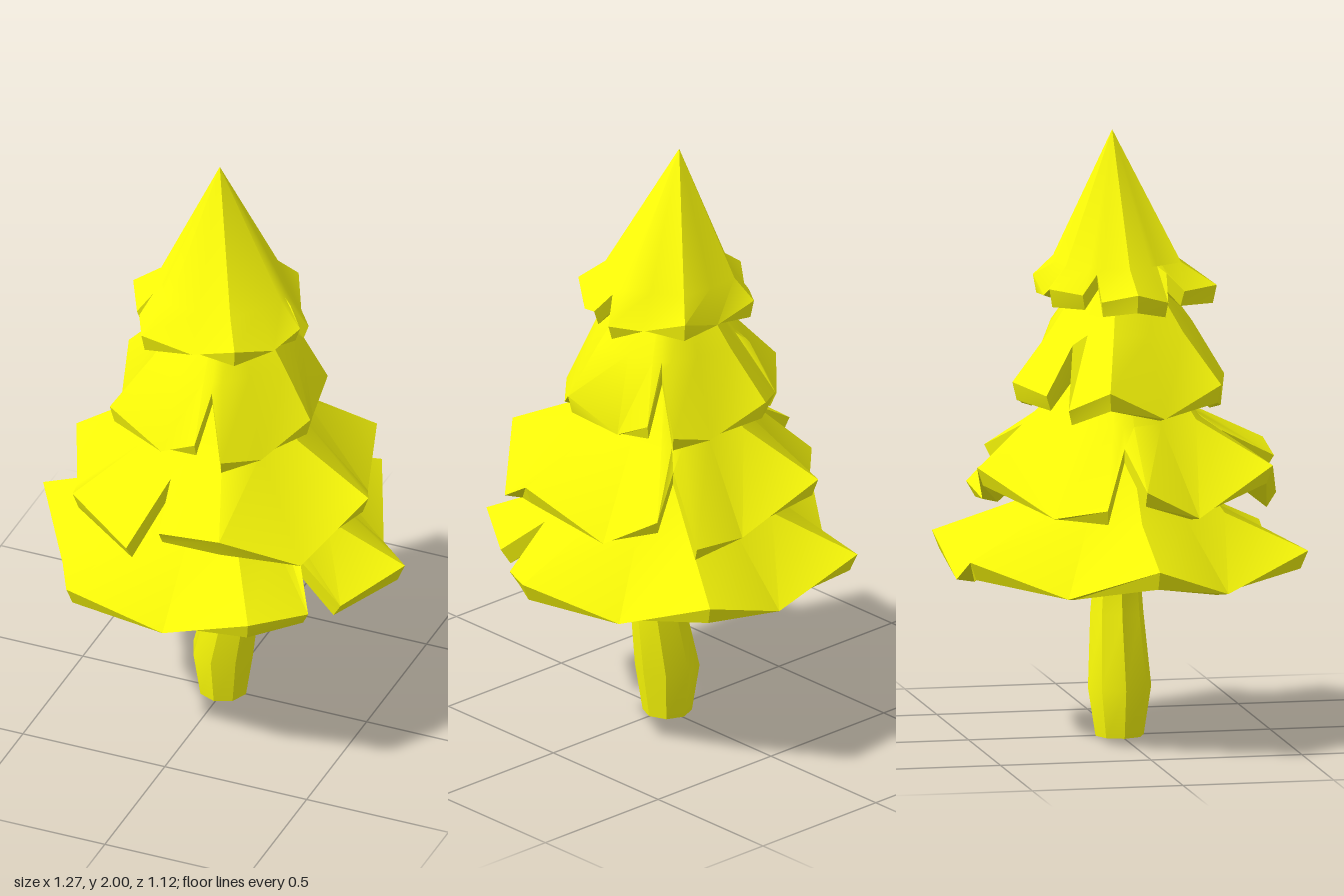
import * as THREE from 'three';
import { toCreasedNormals } from 'three/addons/utils/BufferGeometryUtils.js';

const material = new THREE.MeshStandardMaterial({ color: 0xfcfc08 });

// Skin a stack of closed rings, each running anticlockwise seen from above
function loft(name, rings) {
  const pos = [];
  const tri = (a, b, c) => {
    const area = b.clone().sub(a).cross(c.clone().sub(a)).length();
    if (area > 1e-7) for (const p of [a, b, c]) pos.push(p.x, p.y, p.z);
  };
  for (let k = 0; k < rings.length - 1; k++) {
    const lo = rings[k], hi = rings[k + 1], n = lo.length;
    for (let i = 0; i < n; i++) {
      const j = (i + 1) % n;
      tri(lo[i], lo[j], hi[j]);
      tri(lo[i], hi[j], hi[i]);
    }
  }
  const geometry = new THREE.BufferGeometry();
  geometry.setAttribute('position', new THREE.Float32BufferAttribute(pos, 3));
  const mesh = new THREE.Mesh(toCreasedNormals(geometry, 0.6), material);
  mesh.name = name;
  return mesh;
}

const polar = (degrees, r, y) => {
  const a = THREE.MathUtils.degToRad(degrees);
  return new THREE.Vector3(Math.cos(a) * r, y, -Math.sin(a) * r);
};

// A six-pointed skirt: raised tips and drooping folds alternate every 30 degrees.
// A notch splits its corner in two, one side tilted up and the other down.
// The cut edge is thick at the tips and tucks inwards at the folds.
function tier({ name, phase, radii, tipY, foldY, notchY, notchR, notches, shoulder, top, hollowY, lean = 0 }) {
  const corners = radii.flatMap((r, i) => {
    const angle = phase + i * 30, fold = i % 2, girth = fold ? 0.9 : 1;
    if (!(i in notches)) {
      return [{ angle, r, girth, y: fold ? foldY : tipY, drop: fold ? 0.01 : 0.06, inset: fold ? 0.89 : 0.96 }];
    }
    const y = (tipY + foldY) / 2, cut = { girth, drop: 0.05, inset: 0.94 };
    return [
      { ...cut, angle: angle - 7, r, y: y + notches[i] },
      { ...cut, angle, r: r * notchR, y: notchY },
      { ...cut, angle: angle + 7, r, y: y - notches[i] },
    ];
  });
  // hexagonal ring above the rim, shifted with the lean
  const ringAt = ([r, y], shift) => corners.map(c => {
    const p = polar(c.angle, r * c.girth, y);
    return p.add(new THREE.Vector3(shift, 0, shift));
  });
  return loft(name, [
    ringAt([0, hollowY], 0),
    corners.map(c => polar(c.angle, c.r * c.inset, c.y - c.drop)),
    corners.map(c => polar(c.angle, c.r, c.y)),
    ringAt(shoulder, lean * 0.3),
    ringAt(top, lean),
    ringAt([0, top[1]], lean),
  ]);
}

// Bent eight-sided trunk: height, centre x, radius
function trunk() {
  const sections = [
    [0, 0, 0], [0, -0.005, 0.08], [0.16, -0.005, 0.105],
    [0.4, 0.04, 0.088], [0.56, 0.035, 0.075], [0.9, 0.01, 0.06],
  ];
  return loft('trunk', sections.map(([y, cx, r]) => Array.from({ length: 8 }, (_, i) => {
    const p = polar(i * 45, r, y);
    p.x += cx;
    return p;
  })));
}

export function createModel() {
  const tree = new THREE.Group();
  tree.name = 'tree';
  tree.add(
    trunk(),
    tier({
      name: 'lowestBranches', phase: 0,
      radii: [0.635, 0.52, 0.64, 0.54, 0.65, 0.53, 0.64, 0.53, 0.645, 0.52, 0.61, 0.54],
      tipY: 0.64, foldY: 0.53, notchY: 0.71, notchR: 0.75, notches: { 11: 0.01 },
      shoulder: [0.36, 0.75], top: [0.19, 0.97], hollowY: 0.86,
    }),
    tier({
      name: 'lowerMiddleBranches', phase: -9,
      radii: [0.55, 0.465, 0.53, 0.445, 0.55, 0.465, 0.53, 0.48, 0.56, 0.51, 0.555, 0.525],
      tipY: 0.93, foldY: 0.78, notchY: 1.0, notchR: 0.65, notches: { 2: 0.05, 6: -0.03, 9: -0.05 },
      shoulder: [0.28, 1.06], top: [0.15, 1.24], hollowY: 1.12,
    }),
    tier({
      name: 'upperMiddleBranches', phase: -16,
      radii: [0.357, 0.29, 0.345, 0.32, 0.386, 0.36, 0.4, 0.34, 0.4, 0.33, 0.36, 0.33],
      tipY: 1.19, foldY: 1.09, notchY: 1.32, notchR: 0.75, notches: { 2: 0.02, 5: 0.02, 10: 0.03 },
      shoulder: [0.25, 1.35], top: [0.14, 1.5], hollowY: 1.38,
    }),
    tier({
      name: 'treetop', phase: -1,
      radii: [0.285, 0.25, 0.297, 0.25, 0.3, 0.27, 0.325, 0.285, 0.335, 0.265, 0.3, 0.27],
      tipY: 1.5, foldY: 1.455, notchY: 1.55, notchR: 0.82, notches: { 0: 0.015, 5: 0.01, 7: -0.015 },
      shoulder: [0.22, 1.57], top: [0, 2], hollowY: 1.58, lean: -0.03,
    }),
  );
  return tree;
}
